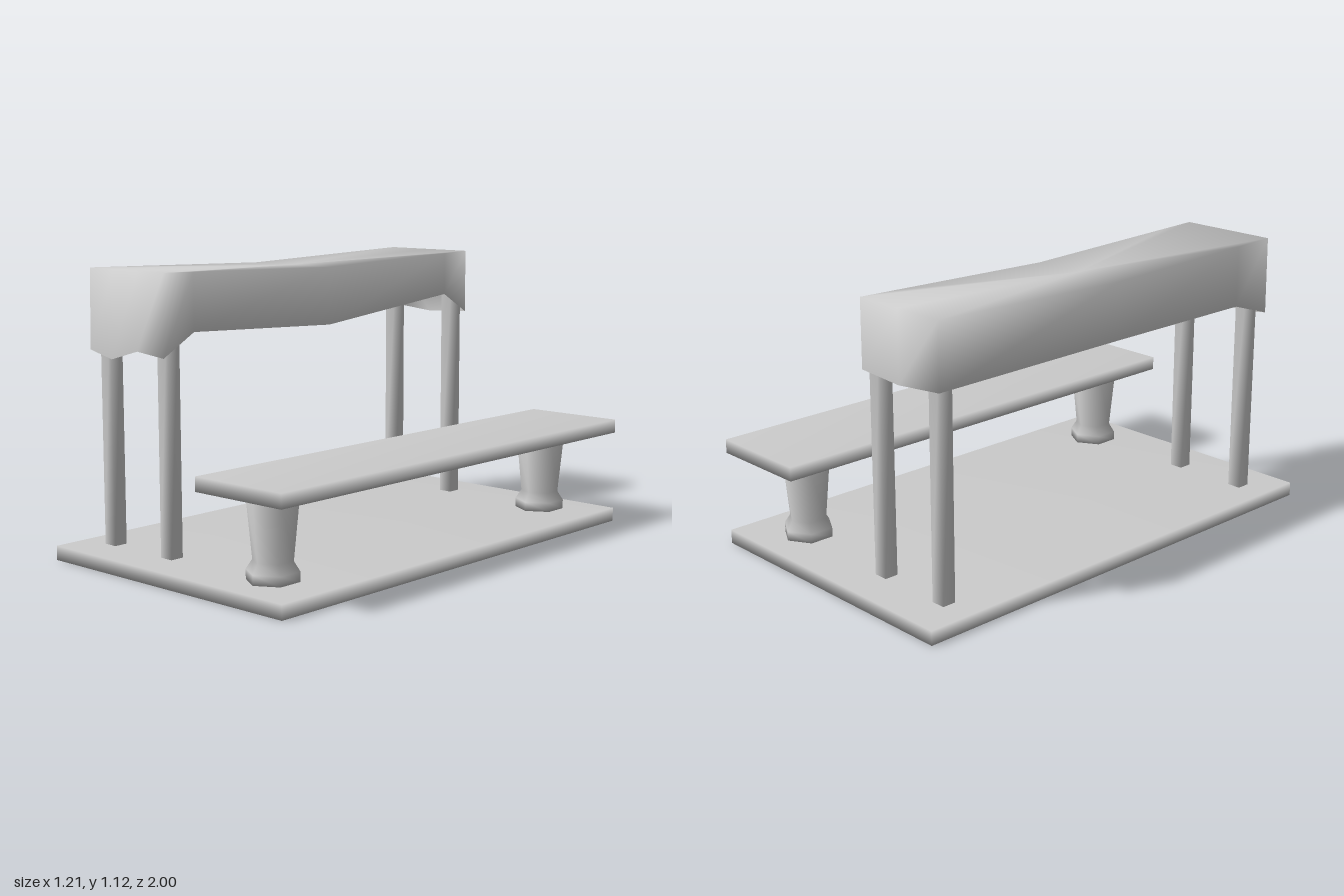
import * as THREE from 'three';
import { mergeVertices } from 'three/addons/utils/BufferGeometryUtils.js';

const material = new THREE.MeshStandardMaterial({ color: 0xcccccc });
const clothMaterial = new THREE.MeshStandardMaterial({ color: 0xcccccc, side: THREE.DoubleSide });

// Shares corners so the normals are averaged across edges
function soften(geometry) {
  geometry.deleteAttribute('normal');
  geometry.deleteAttribute('uv');
  const merged = mergeVertices(geometry);
  merged.computeVertexNormals();
  return merged;
}

function addMesh(group, name, geometry, mat = material) {
  const mesh = new THREE.Mesh(geometry, mat);
  mesh.name = name;
  group.add(mesh);
  return mesh;
}

function addBox(group, name, x, z, width, depth, y0, y1) {
  const box = addMesh(group, name, soften(new THREE.BoxGeometry(width, y1 - y0, depth)));
  box.position.set(x, (y0 + y1) / 2, z);
}

// Draped cloth: sagging top, hanging walls with an uneven hem, open below
function clothGeometry() {
  const hem = [
    [-0.52, 0.81, 0.88], [-0.385, 0.785, 0.89], [-0.245, 0.825, 0.885], [-0.105, 0.81, 0.88],
    [-0.105, 0.895, 0.73], [-0.105, 0.865, 0], [-0.105, 0.94, -0.73], [-0.105, 0.855, -0.875],
    [-0.31, 0.845, -0.878], [-0.52, 0.865, -0.875], [-0.52, 0.87, 0], [-0.52, 0.87, 0.69],
  ];
  const n = hem.length;
  const positions = [];
  for (const p of hem) positions.push(...p);
  for (const [x, , z] of hem) {
    const topZ = THREE.MathUtils.clamp(z, -0.875, 0.875);
    positions.push(x, 1.095 + 0.025 * Math.abs(topZ) / 0.875, topZ);
  }
  positions.push(-0.3125, 1.095, 0);
  const index = [];
  for (let i = 0; i < n; i++) {
    const j = (i + 1) % n;
    index.push(i, j, n + j, i, n + j, n + i);
    index.push(n + i, n + j, 2 * n);
  }
  const geometry = new THREE.BufferGeometry();
  geometry.setAttribute('position', new THREE.Float32BufferAttribute(positions, 3));
  geometry.setIndex(index);
  geometry.computeVertexNormals();
  return geometry;
}

export function createModel() {
  const model = new THREE.Group();
  model.name = 'shelterWithBench';

  // Ground slab and bench plank
  addBox(model, 'base', 0, 0, 1.21, 2, 0, 0.056);
  addBox(model, 'benchSeat', 0.395, 0, 0.42, 2, 0.38, 0.435);

  // Six-sided bench pedestals, flared at foot and top
  const profile = [[0, 0.056], [0.1, 0.056], [0.1, 0.093], [0.076, 0.13], [0.1, 0.375], [0, 0.375]]
    .map(([r, y]) => new THREE.Vector2(r, y));
  const pedestal = soften(new THREE.LatheGeometry(profile, 6));
  for (const z of [-0.8, 0.8]) {
    addMesh(model, 'benchPedestal', pedestal).position.set(0.365, 0, z);
  }

  // Four square posts under the cloth
  for (const x of [-0.463, -0.141]) {
    for (const z of [-0.82, 0.825]) addBox(model, 'post', x, z, 0.058, 0.056, 0.056, 1.05);
  }

  addMesh(model, 'clothCover', clothGeometry(), clothMaterial);
  return model;
}
